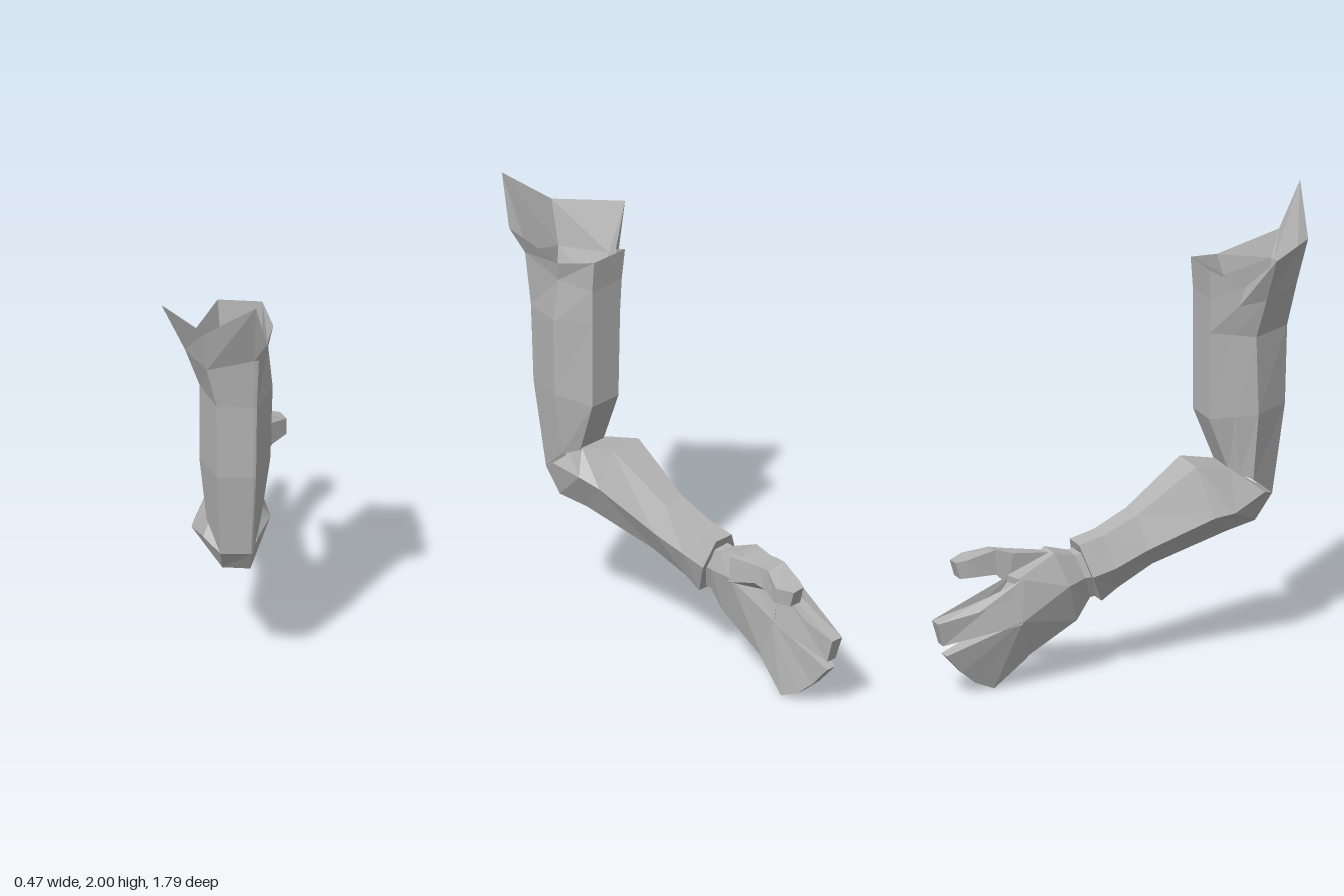
import * as THREE from 'three';

const skin = new THREE.MeshStandardMaterial({ color: 0xb4b4b4, side: THREE.DoubleSide });
skin.name = 'plain grey';
skin.flatShading = true;

// Joins a row of rings of [x, y, z] points, with optional flat ends.
function loft(name, rings, capStart = true, capEnd = true) {
  const n = rings[0].length;
  const pos = [];
  const tri = (a, b, c) => pos.push(...a, ...b, ...c);
  for (let r = 0; r < rings.length - 1; r++) {
    for (let i = 0; i < n; i++) {
      const j = (i + 1) % n;
      const lo = rings[r], hi = rings[r + 1];
      tri(lo[i], lo[j], hi[j]);
      tri(lo[i], hi[j], hi[i]);
    }
  }
  const first = rings[0], last = rings[rings.length - 1];
  for (let i = 1; i < n - 1; i++) {
    if (capStart) tri(first[0], first[i + 1], first[i]);
    if (capEnd) tri(last[0], last[i], last[i + 1]);
  }
  const geo = new THREE.BufferGeometry();
  geo.setAttribute('position', new THREE.Float32BufferAttribute(pos, 3));
  geo.computeVertexNormals();
  const mesh = new THREE.Mesh(geo, skin);
  mesh.name = name;
  return mesh;
}

// Side outline of [z, y, outer x, inner x] points, made into a tapered slab.
function slab(name, pts) {
  return loft(name, [
    pts.map(([z, y, , x1]) => [x1, y, z]),
    pts.map(([z, y, x0]) => [x0, y, z]),
  ]);
}

export function createModel() {
  const group = new THREE.Group();
  group.name = 'arm';

  // Upper arm, open at a ragged, flared top
  group.add(loft('upperArm', [
    [[0.02, 0.68, 0.69], [0.15, 0.68, 0.68], [0.16, 0.69, 0.67], [0.18, 0.79, 0.56],
      [0.15, 0.82, 0.48], [0.01, 0.82, 0.48], [-0.02, 0.8, 0.52], [-0.05, 0.78, 0.57]],
    [[0.01, 1.08, 0.745], [0.165, 1.08, 0.735], [0.175, 1.08, 0.73], [0.22, 1.08, 0.565],
      [0.17, 1.06, 0.39], [0.01, 1.06, 0.39], [-0.04, 1.07, 0.49], [-0.08, 1.08, 0.58]],
    [[0.01, 1.43, 0.755], [0.165, 1.43, 0.745], [0.18, 1.43, 0.74], [0.23, 1.43, 0.56],
      [0.17, 1.45, 0.39], [0, 1.45, 0.39], [-0.04, 1.44, 0.48], [-0.08, 1.43, 0.57]],
    [[-0.03, 1.62, 0.78], [0.17, 1.67, 0.77], [0.19, 1.67, 0.765], [0.21, 1.62, 0.55],
      [0.17, 1.6, 0.39], [-0.01, 1.6, 0.39], [-0.08, 1.58, 0.49], [-0.14, 1.61, 0.59]],
    [[-0.04, 1.82, 0.83], [0.19, 2, 0.9], [0.23, 1.78, 0.82], [0.23, 1.71, 0.53],
      [0.17, 1.74, 0.38], [-0.02, 1.74, 0.38], [-0.1, 1.67, 0.51], [-0.24, 1.82, 0.59]],
  ], false, false));

  // Elbow and forearm, tapering to the wrist
  group.add(loft('forearm', [
    [[0.01, 0.78, 0.55], [0.14, 0.78, 0.55], [0.17, 0.72, 0.62], [0.15, 0.68, 0.68],
      [0.02, 0.68, 0.69], [-0.06, 0.72, 0.62]],
    [[-0.01, 0.83, 0.48], [0.14, 0.83, 0.48], [0.21, 0.73, 0.43], [0.14, 0.57, 0.61],
      [0.02, 0.57, 0.61], [-0.125, 0.67, 0.45]],
    [[-0.03, 0.87, 0.31], [0.13, 0.87, 0.31], [0.19, 0.7, 0.33], [0.12, 0.55, 0.47],
      [0, 0.55, 0.47], [-0.12, 0.66, 0.36]],
    [[-0.02, 0.69, 0.04], [0.09, 0.69, 0.04], [0.145, 0.57, 0.05], [0.08, 0.455, 0.12],
      [0, 0.455, 0.12], [-0.085, 0.55, 0.06]],
    [[-0.025, 0.625, -0.12], [0.07, 0.625, -0.12], [0.115, 0.51, -0.09], [0.06, 0.38, -0.05],
      [-0.02, 0.38, -0.05], [-0.085, 0.49, -0.09]],
    [[-0.03, 0.6, -0.235], [0.065, 0.6, -0.235], [0.11, 0.48, -0.2], [0.06, 0.335, -0.13],
      [-0.03, 0.335, -0.13], [-0.095, 0.47, -0.2]],
  ]));

  // Hand
  const hand = new THREE.Group();
  hand.name = 'hand';
  hand.add(loft('palm', [
    [[-0.02, 0.56, -0.22], [0.06, 0.56, -0.22], [0.08, 0.47, -0.19], [0.04, 0.36, -0.15],
      [-0.02, 0.36, -0.15], [-0.06, 0.46, -0.19]],
    [[-0.02, 0.555, -0.25], [0.06, 0.555, -0.25], [0.08, 0.47, -0.22], [0.04, 0.355, -0.18],
      [-0.02, 0.355, -0.18], [-0.06, 0.46, -0.22]],
    [[-0.05, 0.59, -0.36], [0.05, 0.59, -0.36], [0.09, 0.47, -0.34], [0.04, 0.27, -0.25],
      [-0.04, 0.27, -0.25], [-0.1, 0.45, -0.31]],
    [[-0.08, 0.51, -0.54], [0.01, 0.5, -0.55], [0.04, 0.32, -0.55], [0.04, 0.13, -0.48],
      [-0.02, 0.13, -0.48], [-0.1, 0.32, -0.53]],
  ]));
  hand.add(slab('indexFinger', [
    [-0.52, 0.51, -0.085, 0.01], [-0.58, 0.43, -0.085, 0.02], [-0.72, 0.385, -0.07, 0.035],
    [-0.89, 0.34, -0.02, 0.04], [-0.86, 0.235, -0.01, 0.04], [-0.53, 0.31, -0.1, 0.04],
  ]));
  hand.add(slab('joinedFingers', [
    [-0.53, 0.325, -0.1, 0.04], [-0.85, 0.19, -0.02, 0.03], [-0.77, 0.1, -0.005, 0.035],
    [-0.7, 0.04, 0.01, 0.05], [-0.61, 0, 0.015, 0.06], [-0.47, 0.13, -0.02, 0.04],
  ]));
  hand.add(loft('thumb', [
    [[-0.02, 0.58, -0.32], [0.07, 0.56, -0.32], [0.09, 0.45, -0.33], [0, 0.43, -0.36]],
    [[0, 0.6, -0.53], [0.1, 0.59, -0.52], [0.11, 0.51, -0.5], [0.02, 0.45, -0.54]],
    [[0.03, 0.615, -0.6], [0.12, 0.6, -0.59], [0.125, 0.51, -0.57], [0.04, 0.5, -0.59]],
    [[0.06, 0.575, -0.72], [0.175, 0.57, -0.69], [0.175, 0.5, -0.68], [0.06, 0.495, -0.7]],
    [[0.08, 0.565, -0.76], [0.14, 0.56, -0.76], [0.14, 0.49, -0.74], [0.08, 0.49, -0.74]],
  ]));
  group.add(hand);
  return group;
}
